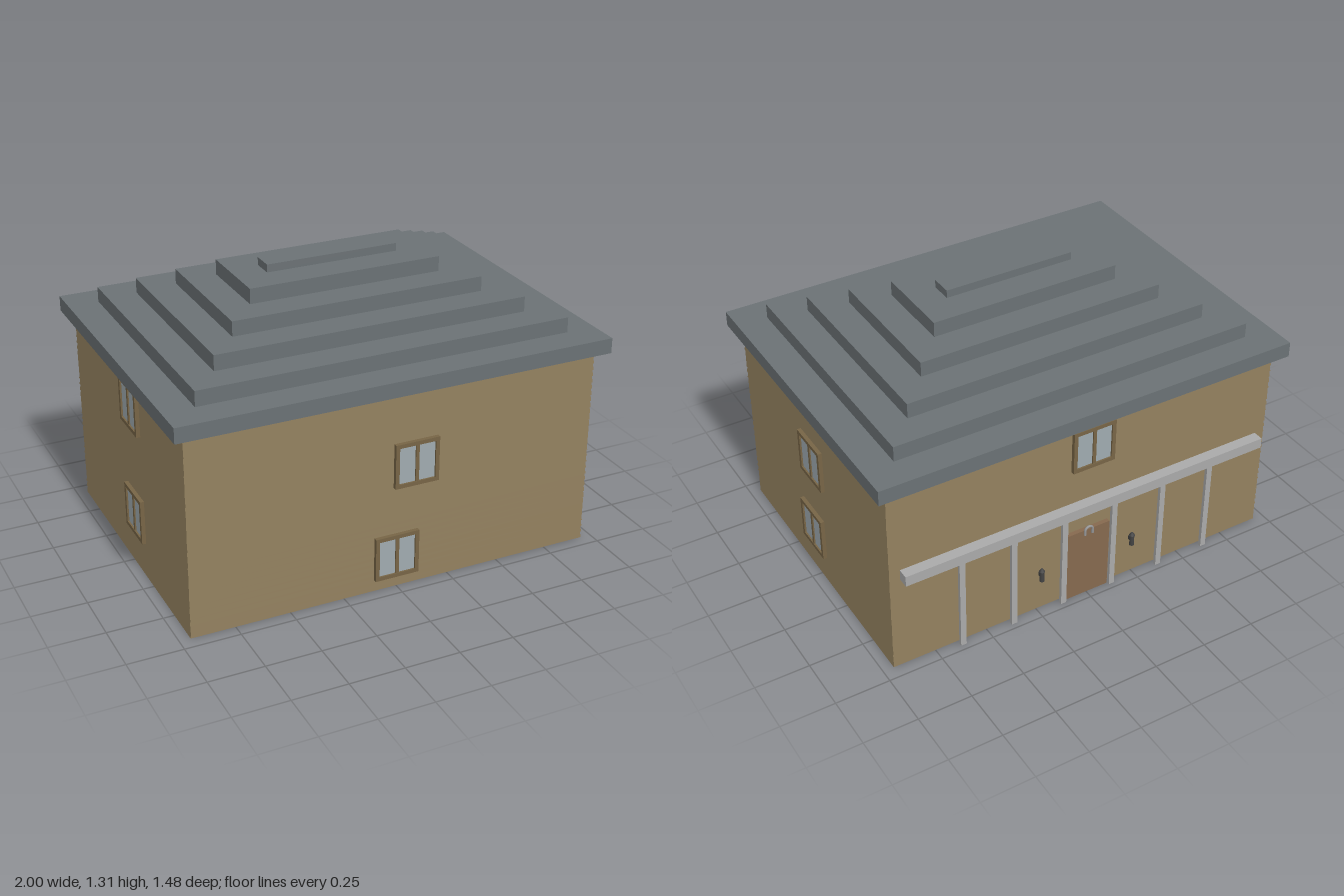
import * as THREE from 'three';

const mat = (color) => new THREE.MeshStandardMaterial({ color });
const MAT = {
  wall: mat(0x8f7d5c), roof: mat(0x6b7275), frame: mat(0x776546), glass: mat(0xa0abb0),
  door: mat(0x86694f), post: mat(0xaaaaaa), lamp: mat(0x444444), iron: mat(0x999999),
};

function add(parent, name, geometry, material, x = 0, y = 0, z = 0) {
  const mesh = new THREE.Mesh(geometry, material);
  mesh.name = name;
  mesh.position.set(x, y, z);
  parent.add(mesh);
  return mesh;
}

const box = (parent, name, w, h, d, material, x, y, z) =>
  add(parent, name, new THREE.BoxGeometry(w, h, d), material, x, y, z);

// One course of siding: a box whose top edge leans slightly inwards
function courseGeometry(w, h, d, lean) {
  const geo = new THREE.BoxGeometry(w, h, d);
  const p = geo.attributes.position;
  for (let i = 0; i < p.count; i++) {
    if (p.getY(i) > 0) {
      p.setX(i, p.getX(i) - Math.sign(p.getX(i)) * lean);
      p.setZ(i, p.getZ(i) - Math.sign(p.getZ(i)) * lean);
    }
  }
  geo.computeVertexNormals();
  return geo;
}

// Two-pane window facing local +z, with its back on the wall
function createWindow() {
  const g = new THREE.Group();
  g.name = 'window';
  const size = 0.207, rim = 0.018, depth = 0.018;
  const edge = (size - rim) / 2, inner = size - 2 * rim;
  for (const s of [-1, 1]) {
    box(g, 'windowRail', size, rim, depth, MAT.frame, 0, s * edge, depth / 2);
    box(g, 'windowStile', rim, inner, depth, MAT.frame, s * edge, 0, depth / 2);
  }
  box(g, 'windowMullion', 0.016, inner, depth - 0.002, MAT.frame, 0, 0, depth / 2 - 0.001);
  box(g, 'windowGlass', inner, inner, 0.01, MAT.glass, 0, 0, 0.005);
  return g;
}

export function createModel() {
  const house = new THREE.Group();
  house.name = 'house';

  // Walls of overlapping siding courses
  const walls = new THREE.Group();
  walls.name = 'walls';
  house.add(walls);
  const courses = 31, pitch = 0.93 / courses;
  const course = courseGeometry(1.9, pitch, 1.38, 0.003);
  for (let i = 0; i < courses; i++) add(walls, 'sidingCourse', course, MAT.wall, 0, (i + 0.5) * pitch, 0);

  // Stepped roof: half width, half depth, bottom, top
  const roof = new THREE.Group();
  roof.name = 'roof';
  house.add(roof);
  const tiers = [
    [1, 0.74, 0.93, 1.0], [0.86, 0.603, 1.0, 1.07], [0.723, 0.465, 1.07, 1.14],
    [0.585, 0.327, 1.14, 1.208], [0.447, 0.19, 1.208, 1.277], [0.308, 0.05, 1.277, 1.313],
  ];
  for (const [w, d, y0, y1] of tiers) box(roof, 'roofTier', 2 * w, y1 - y0, 2 * d, MAT.roof, 0, (y0 + y1) / 2, 0);

  // Windows: x, y, z, turn about y
  const q = Math.PI / 2;
  const windows = [
    [-0.004, 0.158, 0.69, 0], [0.083, 0.588, 0.69, 0],
    [0.95, 0.242, 0.036, q], [0.95, 0.64, 0.002, q],
    [-0.95, 0.277, 0.07, -q], [-0.95, 0.793, 0.07, -q],
    [-0.02, 0.795, -0.69, 2 * q],
  ];
  for (const [x, y, z, turn] of windows) {
    const win = createWindow();
    win.position.set(x, y, z);
    win.rotation.y = turn;
    house.add(win);
  }

  // Porch at the back: beam on six posts
  const porch = new THREE.Group();
  porch.name = 'porch';
  house.add(porch);
  box(porch, 'porchBeam', 1.8, 0.05, 0.05, MAT.post, 0, 0.495, -0.715);
  for (let i = 0; i < 6; i++) box(porch, 'porchPost', 0.027, 0.47, 0.016, MAT.post, -0.63 + i * 0.252, 0.235, -0.716);

  // Door with a horseshoe over its top edge
  box(house, 'door', 0.22, 0.36, 0.02, MAT.door, 0, 0.18, -0.7);
  const shoe = new THREE.Group();
  shoe.name = 'horseshoe';
  shoe.position.set(0, 0.36, -0.715);
  house.add(shoe);
  add(shoe, 'horseshoeArch', new THREE.TorusGeometry(0.019, 0.006, 6, 12, Math.PI), MAT.iron);
  for (const s of [-1, 1]) {
    add(shoe, 'horseshoeLeg', new THREE.CylinderGeometry(0.006, 0.006, 0.022, 6), MAT.iron, s * 0.019, -0.011, 0);
  }

  // Wall lanterns on either side of the door
  for (const s of [-1, 1]) {
    const lantern = new THREE.Group();
    lantern.name = 'lantern';
    lantern.position.set(s * 0.234, 0.2, -0.712);
    house.add(lantern);
    add(lantern, 'lanternBody', new THREE.CylinderGeometry(0.011, 0.011, 0.056, 10), MAT.lamp);
    add(lantern, 'lanternCap', new THREE.CylinderGeometry(0.005, 0.013, 0.014, 10), MAT.lamp, 0, 0.033, 0);
    box(lantern, 'lanternBracket', 0.01, 0.02, 0.022, MAT.lamp, 0, 0, 0.011);
  }
  return house;
}
